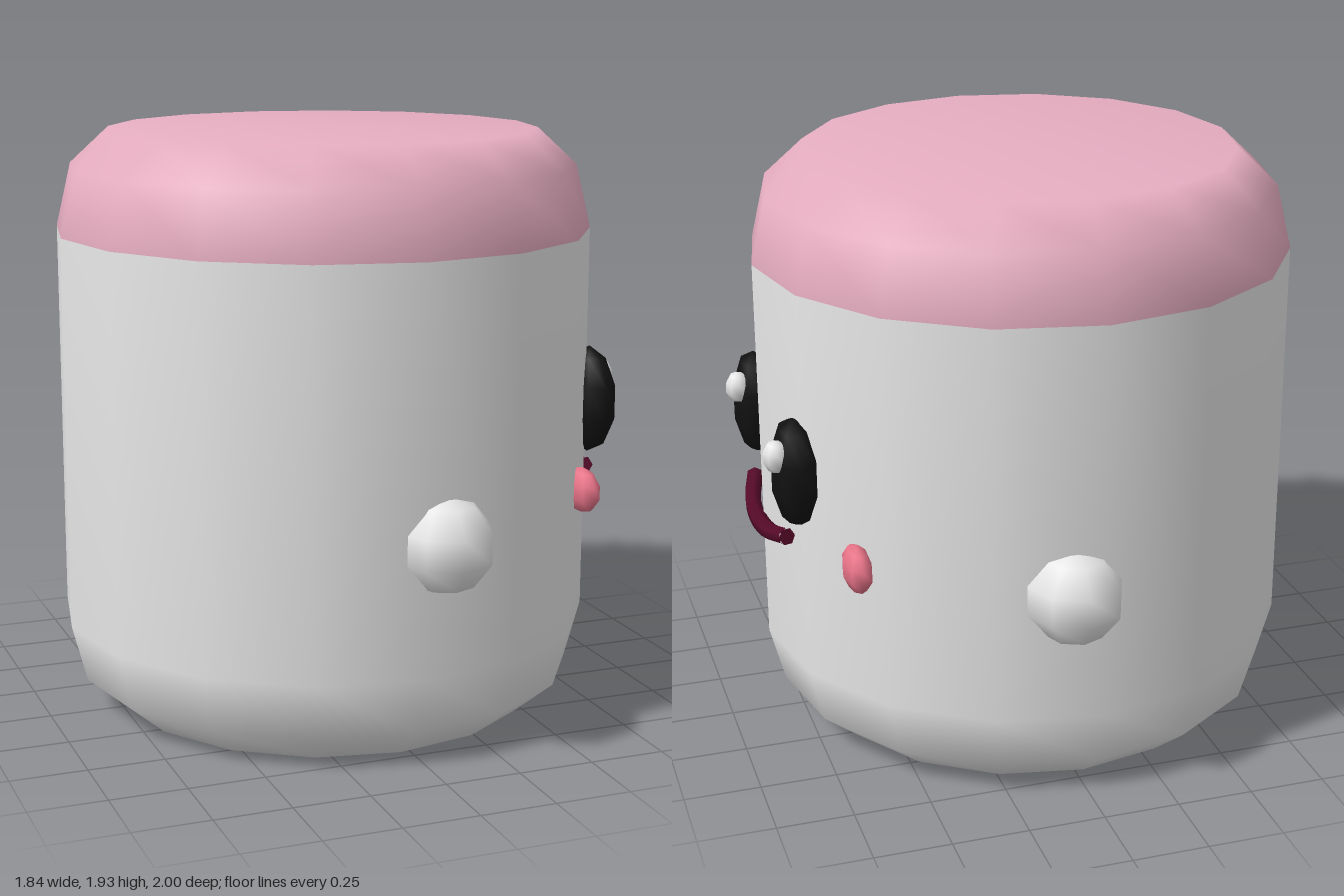
import * as THREE from 'three';

const material = (name, color, side = THREE.FrontSide) => {
  const m = new THREE.MeshStandardMaterial({ color, side });
  m.name = name;
  return m;
};

export function createModel() {
  const white = material('white', 0xf2f2f2);
  const pink = material('pale pink', 0xf8bbd0);
  const rose = material('rose', 0xf47a90);
  const black = material('black', 0x111111);
  const wine = material('wine', 0x560a28);

  const model = new THREE.Group();
  model.name = 'marshmallowCharacter';

  const add = (name, geometry, mat, x = 0, y = 0, z = 0) => {
    const mesh = new THREE.Mesh(geometry, mat);
    mesh.name = name;
    mesh.position.set(x, y, z);
    model.add(mesh);
    return mesh;
  };

  // Body: one smooth bevelled drum, its top bands in pink
  const segments = 16;
  const profile = [
    [0, 0], [0.71, 0], [0.84, 0.11], [0.89, 0.3],
    [0.89, 1.6], [0.84, 1.81], [0.71, 1.93], [0, 1.93],
  ].map(([r, y]) => new THREE.Vector2(r, y));
  const body = new THREE.LatheGeometry(profile, segments);
  const bands = profile.length - 1;
  const whiteBands = 4;
  for (let i = 0; i < segments; i++) {
    const start = i * bands * 6;
    body.addGroup(start, whiteBands * 6, 0);
    body.addGroup(start + whiteBands * 6, (bands - whiteBands) * 6, 1);
  }
  add('body', body, [white, pink], -0.03, 0, 0);

  // Low-poly ellipsoid shared by the hands and face
  const ball = new THREE.SphereGeometry(1, 8, 5);
  const blob = (name, mat, [x, y, z], [sx, sy, sz]) =>
    add(name, ball, mat, x, y, z).scale.set(sx, sy, sz);

  for (const [side, s] of [['left', 1], ['right', -1]]) {
    blob(side + 'Hand', white, [0.055, 0.717, 0.843 * s], [0.162, 0.157, 0.165]);
    blob(side + 'Eye', black, [0.813, 1.012, 0.322 * s], [0.077, 0.183, 0.138]);
    blob(side + 'Cheek', rose, [0.673, 0.763, 0.556 * s], [0.047, 0.076, 0.1]);
    // Both glints sit to the same side of their eye
    blob(side + 'EyeGlint', white, [0.877, 1.087, 0.32 * s - 0.04], [0.043, 0.054, 0.05]);
  }

  // Mouth: curved tube wrapping the face, with closed ends
  const smile = new THREE.CatmullRomCurve3([
    new THREE.Vector3(0.835, 0.765, 0.267),
    new THREE.Vector3(0.869, 0.735, 0.14),
    new THREE.Vector3(0.88, 0.726, 0),
    new THREE.Vector3(0.869, 0.735, -0.14),
    new THREE.Vector3(0.835, 0.765, -0.267),
  ]);
  const radius = 0.029;
  add('mouth', new THREE.TubeGeometry(smile, 12, radius, 6), wine);
  for (const [t, s] of [[0, -1], [1, 1]]) {
    const p = smile.getPoint(t);
    const cap = add('mouthEnd', new THREE.CircleGeometry(radius, 6), wine, p.x, p.y, p.z);
    cap.lookAt(p.clone().addScaledVector(smile.getTangent(t), s));
  }

  return model;
}
